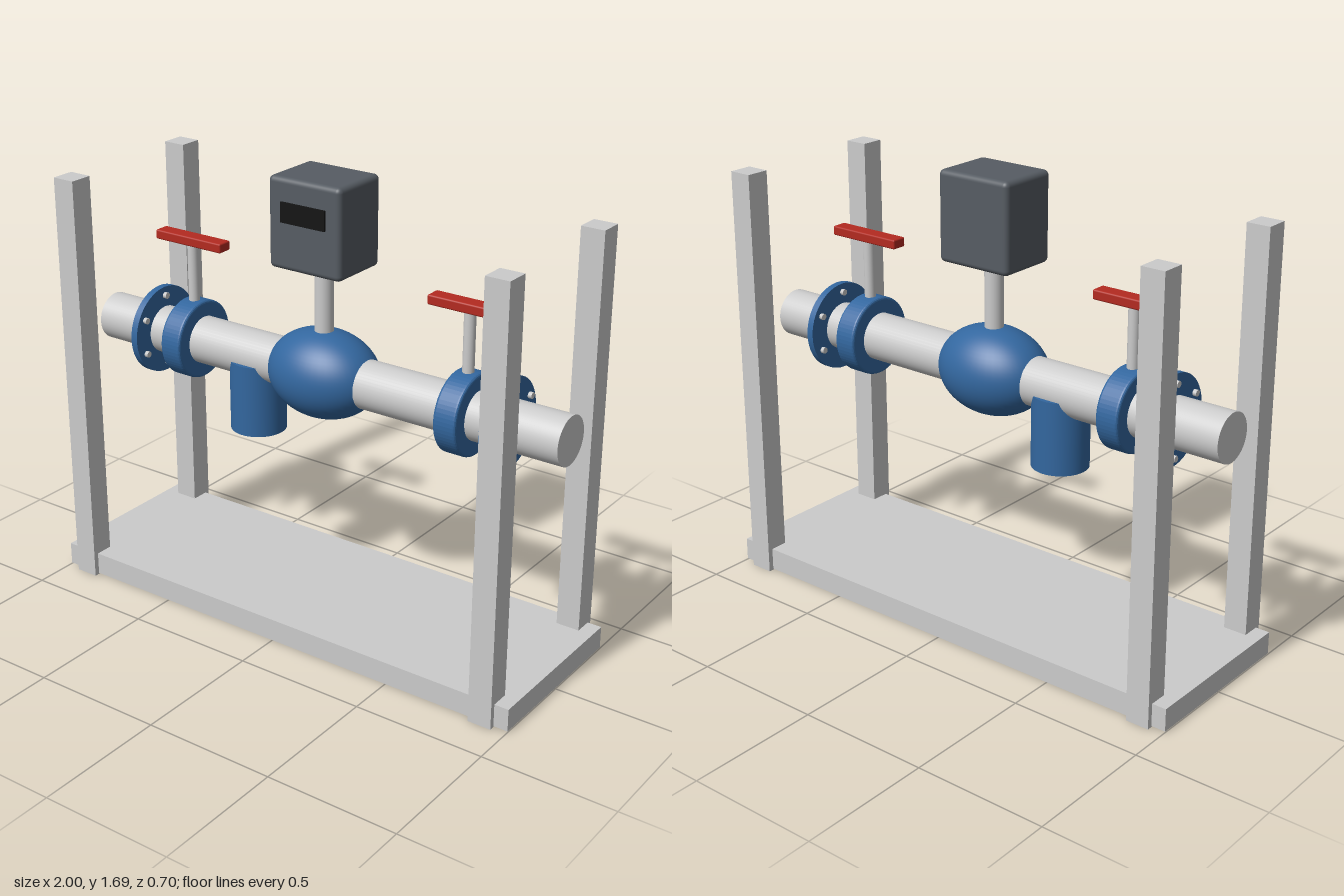
import * as THREE from 'three';
import { RoundedBoxGeometry } from 'three/addons/geometries/RoundedBoxGeometry.js';

const mat = (color) => new THREE.MeshStandardMaterial({ color });
const PIPE_Y = 0.956;

export function createModel() {
  const model = new THREE.Group();
  model.name = 'meteringSkid';
  const grey = mat(0xcccccc);
  const blue = mat(0x33679f);
  const red = mat(0xb32a20);
  const dark = mat(0x565c63);
  const black = mat(0x141414);

  const add = (parent, name, geometry, material, x, y, z) => {
    const mesh = new THREE.Mesh(geometry, material);
    mesh.name = name;
    mesh.position.set(x, y, z);
    parent.add(mesh);
    return mesh;
  };
  // Cylinder lying along x
  const xCylinder = (r, length, sides) => new THREE.CylinderGeometry(r, r, length, sides).rotateZ(Math.PI / 2);

  // Base plate and corner posts
  add(model, 'basePlate', new THREE.BoxGeometry(2, 0.086, 0.66), grey, 0, 0.047, 0);
  for (const x of [-0.9, 0.9]) {
    for (const z of [-0.305, 0.305]) {
      add(model, 'post', new THREE.BoxGeometry(0.09, 1.6, 0.09), grey, x, 0.8, z);
    }
  }

  // Main pipe
  add(model, 'pipe', xCylinder(0.09, 2, 48), grey, 0, PIPE_Y, 0);

  // Flow meter body
  const body = add(model, 'meterBody', new THREE.SphereGeometry(0.166, 48, 32), blue, 0, PIPE_Y, 0);
  body.scale.x = 1.34;

  // Meter neck, display housing and screen
  add(model, 'meterNeck', new THREE.CylinderGeometry(0.035, 0.035, 0.3, 32), grey, 0, 1.23, 0);
  add(model, 'displayHousing', new RoundedBoxGeometry(0.305, 0.333, 0.242, 4, 0.02), dark, 0, 1.525, 0);
  add(model, 'screen', new THREE.BoxGeometry(0.186, 0.073, 0.02), black, 0, 1.571, 0.12);

  // Strainer pot below the pipe
  add(model, 'strainer', new THREE.CylinderGeometry(0.105, 0.105, 0.274, 48), blue, -0.302, 0.803, 0);

  // Valve collar: closed ring with rounded rims
  const collarShape = new THREE.Shape();
  collarShape.absarc(0, 0, 0.14, 0, Math.PI * 2);
  const collarHole = new THREE.Path();
  collarHole.absarc(0, 0, 0.085, 0, Math.PI * 2, true);
  collarShape.holes.push(collarHole);
  const collarGeometry = new THREE.ExtrudeGeometry(collarShape, {
    depth: 0.07, bevelThickness: 0.01, bevelSize: 0.01, bevelSegments: 3, curveSegments: 32,
  }).translate(0, 0, -0.035).rotateY(Math.PI / 2);

  for (const side of [-1, 1]) {
    // Valve with stem and bar handle
    const valve = new THREE.Group();
    valve.name = side > 0 ? 'leftValve' : 'rightValve';
    valve.position.x = side * 0.6;
    model.add(valve);
    add(valve, 'valveCollar', collarGeometry, blue, 0, PIPE_Y, 0);
    add(valve, 'valveStem', new THREE.CylinderGeometry(0.021, 0.021, 0.25, 24), grey, 0, 1.21, 0);
    add(valve, 'valveHandle', new RoundedBoxGeometry(0.306, 0.036, 0.06, 2, 0.006), red, 0, 1.34, 0);

    // Flange with a ring of six bolts
    const flange = new THREE.Group();
    flange.name = side > 0 ? 'leftFlange' : 'rightFlange';
    flange.position.set(side * 0.76, PIPE_Y, 0);
    model.add(flange);
    add(flange, 'flangeDisc', xCylinder(0.168, 0.027, 48), blue, 0, 0, 0);
    for (let i = 0; i < 6; i++) {
      const a = Math.PI / 2 + i * Math.PI / 3;
      add(flange, 'bolt', xCylinder(0.012, 0.056, 12), grey, 0, 0.135 * Math.sin(a), 0.135 * Math.cos(a));
    }
  }
  return model;
}
